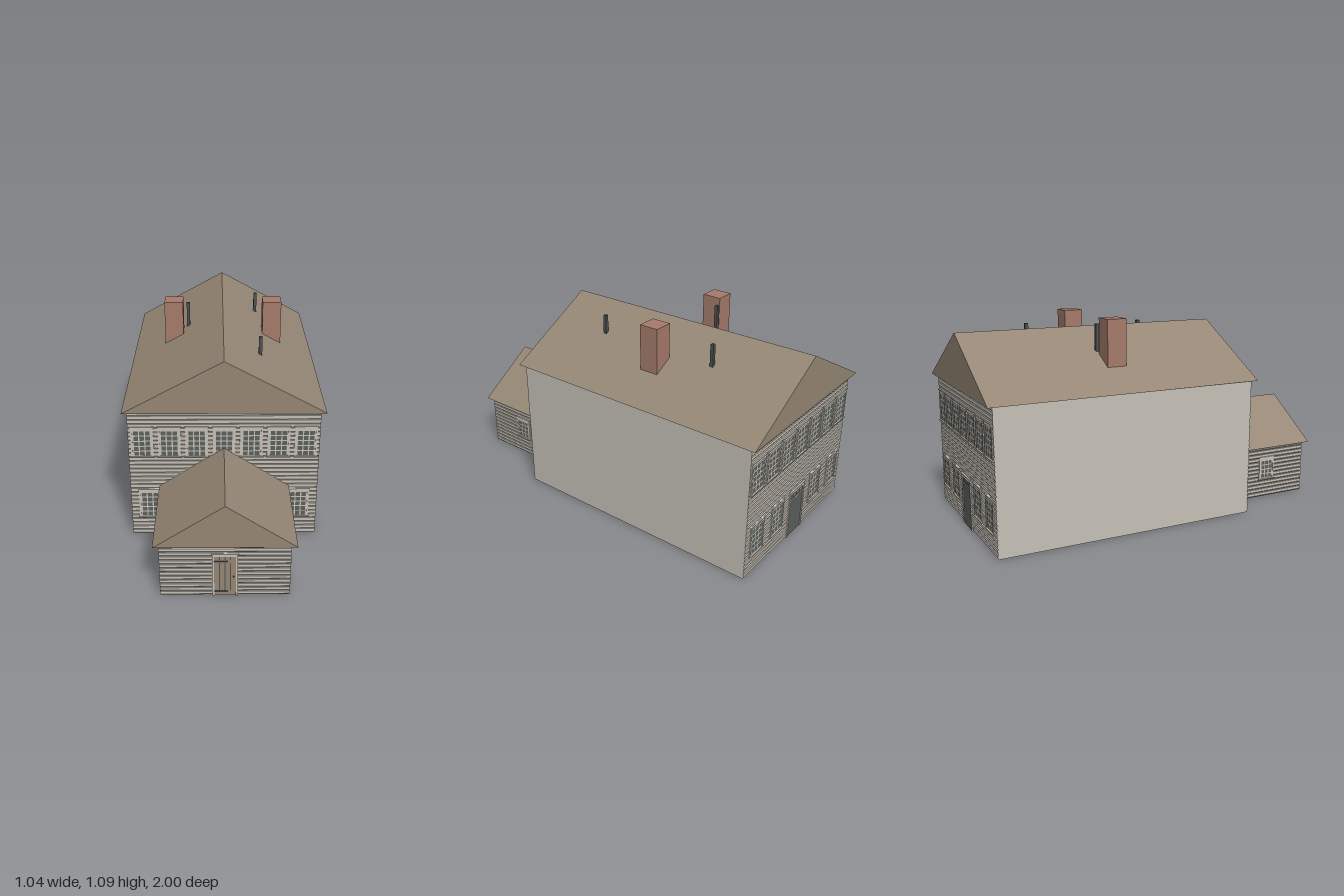
import * as THREE from 'three';
import { mergeGeometries } from 'three/addons/utils/BufferGeometryUtils.js';

const mat = (name, color, side = THREE.FrontSide) => {
  const m = new THREE.MeshStandardMaterial({ color, side });
  m.name = name;
  return m;
};

export function createModel() {
  const wall = mat('pale clapboard', 0xc6c1b7, THREE.DoubleSide);
  const roof = mat('brown shingle', 0x968775);
  const brick = mat('brick', 0xa67b6b);
  const glass = mat('dark glass', 0x5b605b);
  const iron = mat('dark iron', 0x4c5252);

  const house = new THREE.Group();
  house.name = 'house';

  const add = (parent, name, geometry, material) => {
    const mesh = new THREE.Mesh(geometry, material);
    mesh.name = name;
    parent.add(mesh);
    return mesh;
  };
  const group = (parent, name) => {
    const g = new THREE.Group();
    g.name = name;
    parent.add(g);
    return g;
  };
  // box given by its x, y and z ranges
  const block = (x0, x1, y0, y1, z0, z1) =>
    new THREE.BoxGeometry(x1 - x0, y1 - y0, z1 - z0)
      .translate((x0 + x1) / 2, (y0 + y1) / 2, (z0 + z1) / 2);

  // hollow walls: a box without the listed faces (2 top, 3 bottom, 5 back)
  const shell = (name, ranges, open) => {
    const g = block(...ranges);
    const index = Array.from(g.index.array);
    g.setIndex(index.filter((_, i) => !open.includes(Math.floor(i / 6))));
    g.clearGroups();
    add(house, name, g, wall);
  };

  // triangular gable roof with its ridge along z
  const gable = (name, half, eave, ridge, z0, z1) => {
    const s = new THREE.Shape([
      new THREE.Vector2(-half, eave), new THREE.Vector2(half, eave), new THREE.Vector2(0, ridge)]);
    const g = new THREE.ExtrudeGeometry(s, { depth: z1 - z0, bevelEnabled: false });
    add(house, name, g.translate(0, 0, z0), roof);
  };

  // grooved horizontal boards facing +z
  const siding = (parent, width, height, rows) => {
    const p = height / rows, d = 0.006;
    const pts = [new THREE.Vector2(0, 0)];
    for (let i = 0; i < rows; i++) {
      const y = i * p;
      pts.push(new THREE.Vector2(0.0005, y + 0.0005),
        new THREE.Vector2(d, y + p * 0.36), new THREE.Vector2(d, y + p * 0.99));
    }
    pts.push(new THREE.Vector2(0, height));
    const g = new THREE.ExtrudeGeometry(new THREE.Shape(pts), { depth: width, bevelEnabled: false });
    add(parent, 'siding', g.translate(0, 0, -width / 2).rotateY(-Math.PI / 2), wall);
  };

  // wall face group whose local +z points outward
  const facade = (name, x, z, angle) => {
    const g = group(house, name);
    g.position.set(x, 0, z);
    g.rotation.y = angle;
    return g;
  };

  // casing, sill, sash and a grid of panes
  const addWindow = (parent, x, y0, y1, w, gw, g0, g1, rows) => {
    const win = group(parent, 'window');
    win.position.x = x;
    const h = w / 2, gh = gw / 2 + 0.004;
    add(win, 'casing', mergeGeometries([
      block(-h, -gh, y0, y1, 0, 0.01), block(gh, h, y0, y1, 0, 0.01),
      block(-gh, gh, g1 + 0.004, y1, 0, 0.01), block(-gh, gh, y0, g0 - 0.004, 0, 0.01),
      block(-h - 0.003, h + 0.003, y0, y0 + 0.006, 0, 0.015),
      block(-h - 0.002, h + 0.002, y1 - 0.005, y1, 0, 0.013)]), wall);
    add(win, 'sash', block(-gh, gh, g0 - 0.004, g1 + 0.004, 0, 0.007), wall);
    const panes = [], pw = gw / 3, ph = (g1 - g0) / rows;
    for (let c = -1; c <= 1; c++)
      for (let r = 0; r < rows; r++)
        panes.push(new THREE.PlaneGeometry(pw * 0.8, ph * 0.8)
          .translate(c * pw, g0 + (r + 0.5) * ph, 0.008));
    add(win, 'panes', mergeGeometries(panes), glass);
  };
  const upperRow = f => {
    for (let i = -3; i <= 3; i++) addWindow(f, i * 0.1405, 0.477, 0.655, 0.12, 0.09, 0.484, 0.631, 5);
  };
  const lowerWindow = (f, x) => addWindow(f, x, 0.106, 0.284, 0.12, 0.09, 0.115, 0.262, 5);

  // door casing with a head moulding
  const doorCasing = (parent, w, h, iw, ih) => add(parent, 'door casing', mergeGeometries([
    block(-w / 2, -iw / 2, 0, h, 0, 0.011), block(iw / 2, w / 2, 0, h, 0, 0.011),
    block(-iw / 2, iw / 2, ih, h, 0, 0.011),
    block(-w / 2 - 0.004, w / 2 + 0.004, h - 0.005, h, 0, 0.015)]), wall);

  // main building
  shell('main walls', [-0.493, 0.493, 0, 0.739, -0.965, 0.455], [3]);
  gable('main roof', 0.518, 0.74, 1.023, -1, 0.485);
  const front = facade('front wall', 0, 0.455, 0);
  const back = facade('back wall', 0, -0.965, Math.PI);
  for (const f of [front, back]) {
    siding(f, 0.986, 0.739, 31);
    upperRow(f);
    for (const s of [-1, 1]) lowerWindow(f, s * 0.393);
  }
  for (const s of [-1, 1]) lowerWindow(back, s * 0.197);

  // dark back door with a transom
  doorCasing(back, 0.155, 0.28, 0.13, 0.258);
  add(back, 'backDoor', block(-0.065, 0.065, 0, 0.258, 0, 0.008), glass);
  add(back, 'transom bars', mergeGeometries([
    block(-0.065, 0.065, 0.222, 0.227, 0.007, 0.01),
    ...[-0.0325, 0, 0.0325].map(x => block(x - 0.002, x + 0.002, 0.227, 0.258, 0.007, 0.01))]), wall);

  // front entry wing
  shell('entry walls', [-0.309, 0.309, 0, 0.299, 0.455, 0.969], [3, 5]);
  gable('entry roof', 0.342, 0.3, 0.53, 0.44, 1);
  const entry = facade('entry front', 0, 0.969, 0);
  siding(entry, 0.63, 0.299, 13);
  for (const s of [-1, 1]) {
    const side = facade('entry side', s * 0.309, 0.712, s * Math.PI / 2);
    siding(side, 0.514, 0.299, 13);
    addWindow(side, -s * 0.006, 0.102, 0.24, 0.104, 0.076, 0.112, 0.217, 4);
  }

  // plank front door with strap hinges
  doorCasing(entry, 0.124, 0.25, 0.104, 0.231);
  add(entry, 'frontDoor', block(-0.052, 0.052, 0, 0.231, 0, 0.0075), roof);
  add(entry, 'plank gaps', mergeGeometries([-0.026, 0, 0.026].flatMap(x => [
    block(x - 0.0025, x + 0.0025, 0.03, 0.195, 0.007, 0.0085),
    block(x - 0.0025, x + 0.0025, 0.213, 0.231, 0.007, 0.0085)])), iron);
  add(entry, 'strap hinges', mergeGeometries([0.026, 0.204].map(y =>
    block(-0.054, 0.014, y - 0.003, y + 0.003, 0.007, 0.012))), iron);
  add(entry, 'door knob', new THREE.SphereGeometry(0.004, 8, 6).translate(0.041, 0.115, 0.01), iron);

  // chimneys and vent pipes
  for (const s of [-1, 1])
    add(house, 'chimney', block(s * 0.276 - 0.052, s * 0.276 + 0.052, 0.844, 1.087, -0.31, -0.205), brick);
  for (const [x, z, top] of [[-0.198, -0.31, 1.053], [0.196, -0.55, 1.03], [0.196, 0.135, 1.015]])
    add(house, 'vent pipe', block(x - 0.009, x + 0.009, 0.9, top, z - 0.009, z + 0.009), iron);

  return house;
}
